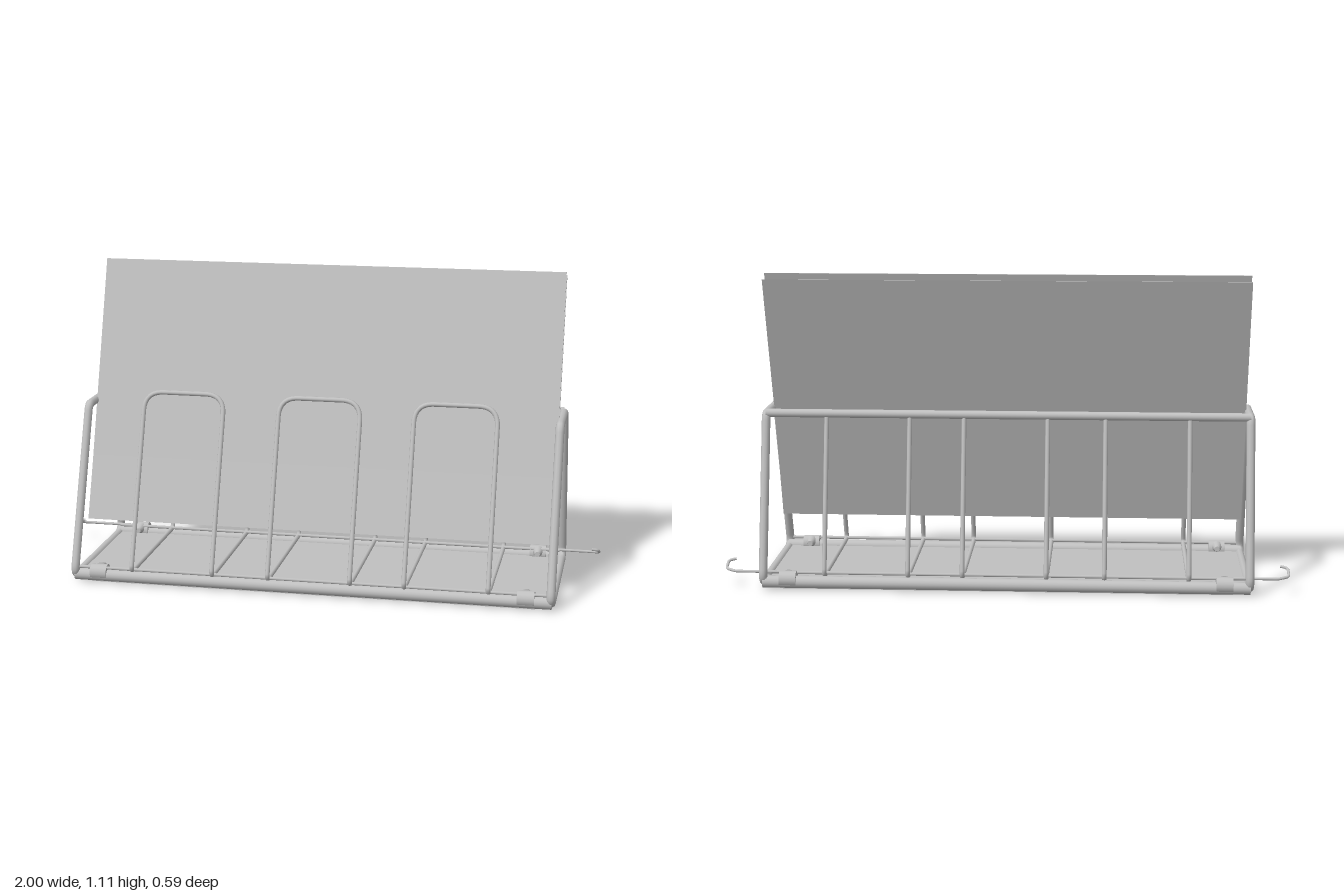
import * as THREE from 'three';

const V = (x, y, z) => new THREE.Vector3(x, y, z);

// Straight runs joined by rounded corners
function roundedPath(pts, radius, closed = false) {
  const path = new THREE.CurvePath();
  const n = pts.length;
  const toward = (a, b, r) => a.clone().add(b.clone().sub(a).setLength(r));
  const corners = pts.map((p, i) => {
    if (!closed && (i === 0 || i === n - 1)) return { a: p, p, b: p, end: true };
    const r = Array.isArray(radius) ? radius[i] : radius;
    return { a: toward(p, pts[(i + n - 1) % n], r), p, b: toward(p, pts[(i + 1) % n], r) };
  });
  corners.forEach((c, i) => {
    if (!c.end) path.add(new THREE.QuadraticBezierCurve3(c.a, c.p, c.b));
    if (closed || i < n - 1) path.add(new THREE.LineCurve3(c.b, corners[(i + 1) % n].a));
  });
  return path;
}

export function createModel() {
  const group = new THREE.Group();
  const metal = new THREE.MeshStandardMaterial({ color: 0xc0c0c0 });

  const add = (name, geometry, x = 0, y = 0, z = 0) => {
    const mesh = new THREE.Mesh(geometry, metal);
    mesh.name = name;
    mesh.position.set(x, y, z);
    group.add(mesh);
    return mesh;
  };
  const rod = (name, radius, length, x, y, z, sides = 16) =>
    add(name, new THREE.CylinderGeometry(radius, radius, length, sides).rotateZ(Math.PI / 2), x, y, z);
  const wire = (name, pts, corner, radius, segments, closed = false) =>
    add(name, new THREE.TubeGeometry(roundedPath(pts, corner, closed), segments, radius, 10, closed));

  // Base tray with rolled front and back edges
  add('trayFloor', new THREE.BoxGeometry(1.72, 0.024, 0.53), 0, 0.017, 0);
  add('trayUnderside', new THREE.BoxGeometry(1.6, 0.006, 0.53), 0, 0.003, 0);
  for (const z of [0.265, -0.27]) {
    rod('trayEdge', 0.022, 1.72, 0, 0.026, z);
    rod('trayEdgeWire', 0.006, 1.7, 0, 0.055, z > 0 ? 0.272 : -0.25, 8);
  }

  // Closed wire loop at each end
  for (const x of [-0.857, 0.857]) {
    wire('endFrame', [
      V(x, 0.022, 0.29), V(x, 0.61, 0.068), V(x, 0.61, -0.15), V(x, 0.022, -0.288),
    ], [0.05, 0.02, 0.02, 0.05], 0.0155, 160, true);
  }
  rod('topBackRail', 0.015, 1.714, 0, 0.612, -0.15);

  // Three dividers: up the back, across the floor and over the front hoop
  for (const cx of [-0.497, 0.003, 0.492]) {
    const l = cx - 0.148, r = cx + 0.148;
    wire('dividerWire', [
      V(l, 0.612, -0.15), V(l, 0.05, -0.277), V(l, 0.05, 0.286), V(l, 0.665, 0.058),
      V(r, 0.665, 0.058), V(r, 0.05, 0.286), V(r, 0.05, -0.277), V(r, 0.612, -0.15),
    ], [0, 0.025, 0.025, 0.07, 0.07, 0.025, 0.025, 0], 0.0085, 260);
  }

  // Two slightly bent leaning sheets, extruded from their side profile
  const sheet = (name, line) => {
    const t = 0.003;
    const shape = new THREE.Shape([
      ...line.map(([z, y]) => new THREE.Vector2(-z - t, y)),
      ...line.slice().reverse().map(([z, y]) => new THREE.Vector2(-z + t, y)),
    ]);
    const geometry = new THREE.ExtrudeGeometry(shape, { depth: 1.696, bevelEnabled: false });
    geometry.translate(0, 0, -0.848).rotateY(Math.PI / 2);
    add(name, geometry);
  };
  sheet('frontSheet', [[0.14, 0.197], [0.06, 0.42], [-0.172, 1.112]]);
  sheet('backSheet', [[0.1, 0.187], [-0.032, 0.595], [-0.218, 1.094]]);

  for (const s of [-1, 1]) {
    // Clamps on the tray edges, each with a small tapered stud
    for (const z of [0.262, -0.268]) {
      const inward = -Math.sign(z);
      rod('edgeClamp', 0.029, 0.06, s * 0.77, 0.036, z);
      const stud = add('clampStud', new THREE.CylinderGeometry(0.01, 0.022, 0.04, 12),
        s * 0.77, 0.045, z + inward * 0.032);
      stud.rotation.x = inward * Math.PI / 2;
    }
    // Curled hook at each back corner
    wire('sideHook', [
      V(s * 0.8, 0.057, -0.252), V(s * 0.96, 0.057, -0.252), V(s * 0.997, 0.062, -0.235),
      V(s * 0.995, 0.082, -0.195), V(s * 0.97, 0.086, -0.188),
    ], 0.012, 0.005, 60);
  }

  return group;
}
